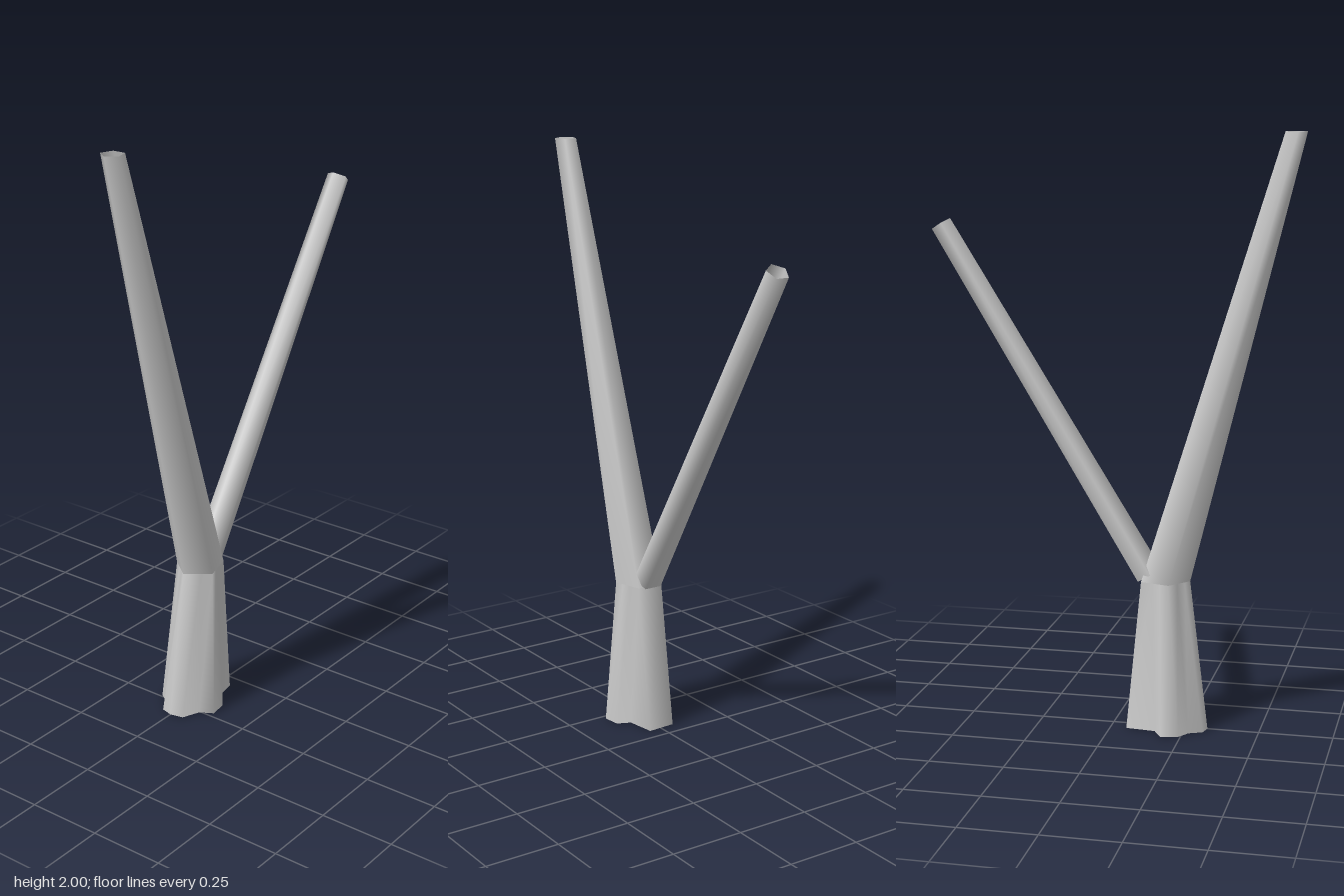
import * as THREE from 'three';

const material = new THREE.MeshStandardMaterial({ color: 0xcccccc, side: THREE.DoubleSide });

// Point at parameter t (corner index, fractions lie on an edge) of a five-sided ring.
// u is the ring's sideways axis; depth scales it along z.
function ringPoint(center, radius, u, depth, t) {
  const corner = (k) => {
    const a = Math.PI * (0.2 + 0.4 * k);
    return center.clone()
      .addScaledVector(u, Math.cos(a) * radius)
      .add(new THREE.Vector3(0, 0, Math.sin(a) * radius * depth));
  };
  const k = Math.floor(t);
  return corner(k).lerp(corner(k + 1), t - k);
}

const ring = (center, radius, u, depth, params = [0, 1, 2, 3, 4]) =>
  params.map((t) => ringPoint(center, radius, u, depth, t));

// Smooth open tube between two closed rings of equal size
function loft(name, lower, upper) {
  const n = lower.length;
  const index = [];
  for (let i = 0; i < n; i++) {
    const j = (i + 1) % n;
    index.push(i, i + n, j, j, i + n, j + n);
  }
  const geometry = new THREE.BufferGeometry().setFromPoints([...lower, ...upper]);
  geometry.setIndex(index);
  geometry.computeVertexNormals();
  const mesh = new THREE.Mesh(geometry, material);
  mesh.name = name;
  return mesh;
}

export function createModel() {
  const group = new THREE.Group();
  group.name = 'forkedTree';
  const side = new THREE.Vector3(1, 0, 0);
  const fork = new THREE.Vector3(-0.172, 0.51, 0.01);

  // Lobed foot: x, z and the matching place on the fork ring
  const foot = [
    [-0.05, 0.045, 0], [-0.15, 0.06, 0.4], [-0.17, 0.105, 0.7], [-0.23, 0.113, 1],
    [-0.255, 0.07, 1.4], [-0.315, 0.045, 1.75], [-0.325, 0, 2], [-0.315, -0.04, 2.25],
    [-0.27, -0.06, 2.6], [-0.243, -0.102, 3], [-0.185, -0.116, 3.3],
    [-0.155, -0.063, 3.6], [-0.055, -0.053, 4],
  ];
  group.add(loft('lowerTrunk',
    foot.map(([x, z]) => new THREE.Vector3(x, 0, z)),
    ring(fork, 0.088, side, 0.9, foot.map((p) => p[2]))));

  // Main stem leaning to the right
  group.add(loft('upperTrunk',
    ring(fork, 0.088, side, 0.9),
    ring(new THREE.Vector3(-0.587, 2, 0.027), 0.038, side, 1)));

  // Side branch, its ends cut square to its axis
  const start = new THREE.Vector3(-0.12, 0.527, 0.006);
  const end = new THREE.Vector3(0.596, 1.69, 0.019);
  const axis = end.clone().sub(start).normalize();
  const across = new THREE.Vector3(axis.y, -axis.x, 0).normalize();
  group.add(loft('branch',
    ring(start, 0.047, across, 1.12),
    ring(end, 0.037, across, 1.05)));

  return group;
}
